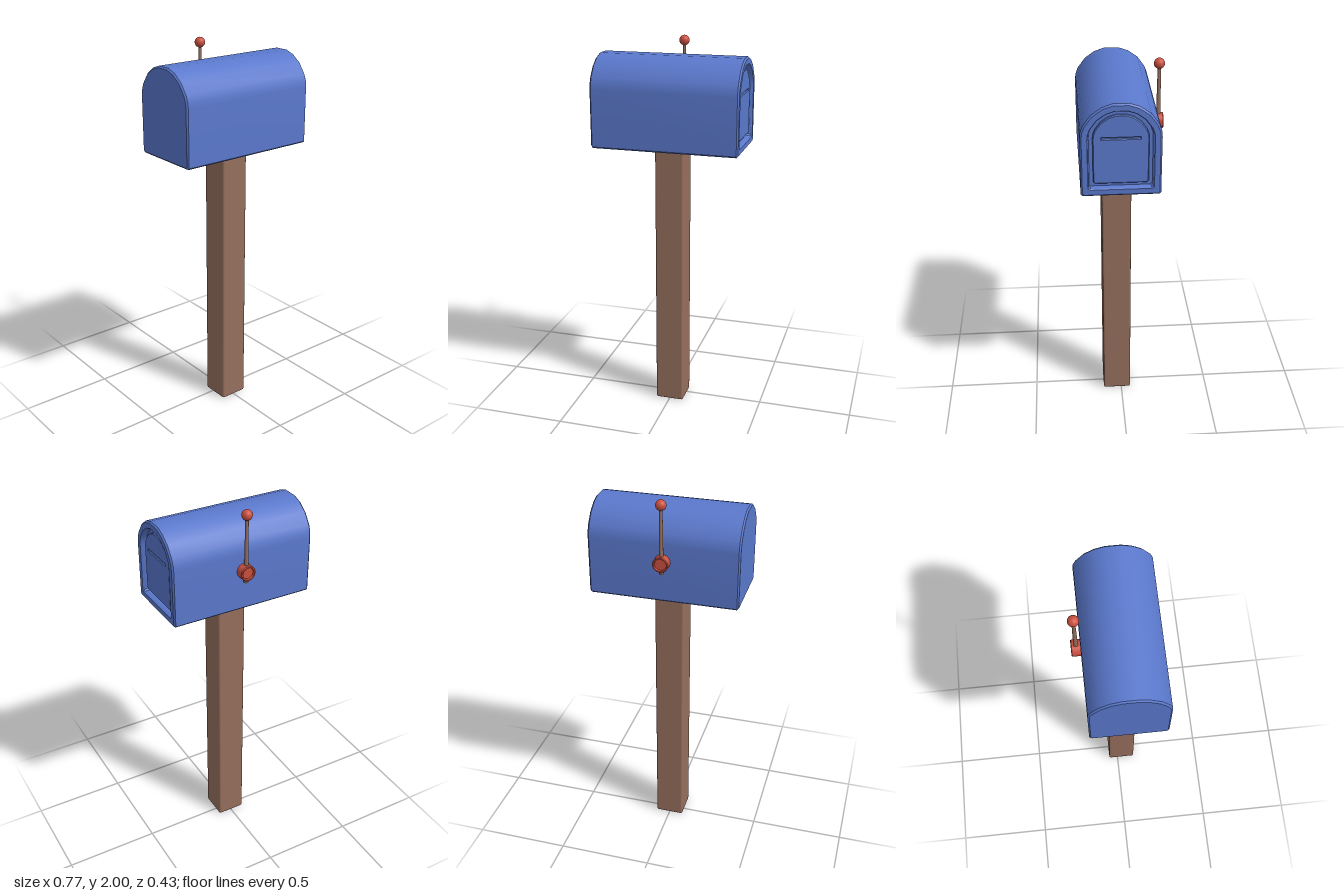
import * as THREE from 'three';
import { toCreasedNormals } from 'three/addons/utils/BufferGeometryUtils.js';
import { RoundedBoxGeometry } from 'three/addons/geometries/RoundedBoxGeometry.js';

const CENTER_Z = 0.023;
const HALF = 0.1925, BOTTOM = 1.46, TOP = 1.927;

// Arched outline, inset from the shell; counter-clockwise seen from the door end (+x)
function archPoints(inset) {
  const h = HALF - inset, b = BOTTOM + inset, t = TOP - inset;
  const rise = 0.17 * h / HALF;
  const right = [[h - 0.008, b], [h, b + 0.008]];
  for (const [u, v] of [[1, 1], [0.985, 0.82], [0.92, 0.62], [0.72, 0.31], [0.46, 0.1], [0.2, 0]]) {
    right.push([u * h, t - v * rise]);
  }
  const left = right.map(([w, y]) => [-w, y]).reverse();
  return [...right, ...left];
}

// Skin arched rings along x; each ring is [x, inset], a null inset closes the end
function loftArch(rings) {
  const n = archPoints(0).length;
  const positions = [], index = [];
  for (const [x, inset] of rings) {
    const pts = inset === null ? Array(n).fill([0, 1.68]) : archPoints(inset);
    for (const [w, y] of pts) positions.push(x, y, CENTER_Z - w);
  }
  for (let i = 0; i < rings.length - 1; i++) {
    for (let j = 0; j < n; j++) {
      const k = (j + 1) % n;
      const a = i * n + j, b = i * n + k, c = b + n, d = a + n;
      if (rings[i][1] !== null) index.push(a, b, c);
      if (rings[i + 1][1] !== null || rings[i][1] === null) index.push(a, c, d);
    }
  }
  const g = new THREE.BufferGeometry();
  g.setAttribute('position', new THREE.Float32BufferAttribute(positions, 3));
  g.setIndex(index);
  return toCreasedNormals(g, 0.6);
}

export function createModel() {
  const model = new THREE.Group();
  model.name = 'mailbox';

  const material = (name, color) => {
    const m = new THREE.MeshStandardMaterial({ color });
    m.name = name;
    return m;
  };
  const blue = material('blue paint', 0x5a78cc);
  const wood = material('brown wood', 0x966f5d);
  const red = material('red paint', 0xcc5040);

  const add = (parent, name, geometry, mat, x = 0, y = 0, z = 0) => {
    const mesh = new THREE.Mesh(geometry, mat);
    mesh.name = name;
    mesh.position.set(x, y, z);
    parent.add(mesh);
    return mesh;
  };

  // Post with softened edges
  add(model, 'post', new RoundedBoxGeometry(0.154, 1.47, 0.154, 2, 0.01), wood, 0, 0.735, 0.025);

  // Shell with bevelled ends and a recessed door end
  add(model, 'boxShell', loftArch([
    [-0.385, null], [-0.385, 0.008], [-0.377, 0], [0.377, 0], [0.385, 0.008],
    [0.385, 0.034], [0.38, 0.038], [0.355, 0.042], [0.355, null],
  ]), blue);

  // Door panel with a narrow letter slot
  const doorShape = new THREE.Shape(archPoints(0.064).map(([w, y]) => new THREE.Vector2(w, y)));
  const slot = new THREE.Path();
  slot.moveTo(-0.095, 1.745);
  slot.lineTo(-0.095, 1.759);
  slot.lineTo(0.095, 1.759);
  slot.lineTo(0.095, 1.745);
  slot.closePath();
  doorShape.holes.push(slot);
  const doorGeometry = new THREE.ExtrudeGeometry(doorShape, {
    depth: 0.012, bevelEnabled: true, bevelThickness: 0.004, bevelSize: 0.004, bevelSegments: 1,
  });
  doorGeometry.rotateY(Math.PI / 2);
  add(model, 'door', toCreasedNormals(doorGeometry, 0.6), blue, 0.356, 0, CENTER_Z);

  // Signal flag on the rear side
  const flag = new THREE.Group();
  flag.name = 'flag';
  flag.position.set(0, 1.675, -0.19);
  model.add(flag);

  // Pivot: a cup with a raised rim and a sunken face
  const cup = [[0, -0.022], [0.04, -0.022], [0.04, 0.02], [0.037, 0.024], [0.031, 0.024], [0.029, 0.014], [0, 0.014]]
    .map(([r, y]) => new THREE.Vector2(r, y));
  const cupGeometry = toCreasedNormals(new THREE.LatheGeometry(cup, 32), 0.6);
  cupGeometry.rotateX(-Math.PI / 2);
  add(flag, 'flagPivot', cupGeometry, red);

  add(flag, 'flagRod', new THREE.CylinderGeometry(0.008, 0.012, 0.355, 16), wood, 0, 0.1225, 0);
  add(flag, 'flagKnob', new THREE.SphereGeometry(0.027, 24, 16), red, 0, 0.298, 0);

  return model;
}
